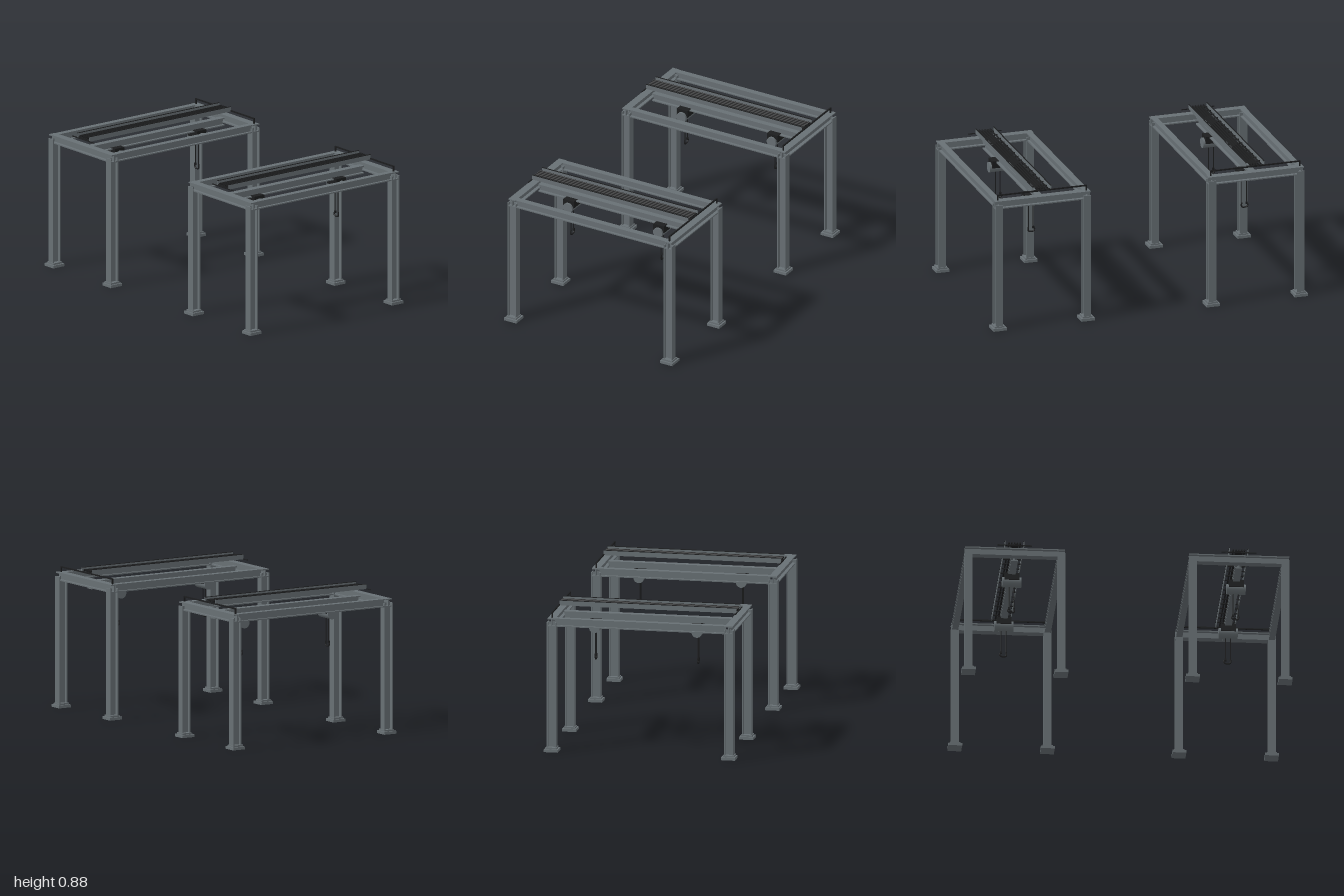
import * as THREE from 'three';

const steel = new THREE.MeshStandardMaterial({ color: 0x687074 });
steel.name = 'steel grey';
const black = new THREE.MeshStandardMaterial({ color: 0x1c1d1e });
black.name = 'black';

function add(parent, name, geometry, material, x = 0, y = 0, z = 0) {
  const mesh = new THREE.Mesh(geometry, material);
  mesh.name = name;
  mesh.position.set(x, y, z);
  parent.add(mesh);
  return mesh;
}

const box = (parent, name, material, w, h, d, x, y, z) =>
  add(parent, name, new THREE.BoxGeometry(w, h, d), material, x, y, z);

// I-section along +z: flanges at top and bottom, web between
function iBeam(width, height, length, t = 0.007) {
  const w = width / 2, h = height / 2, s = t / 2;
  const shape = new THREE.Shape([
    [-w, -h], [w, -h], [w, -h + t], [s, -h + t], [s, h - t], [w, h - t],
    [w, h], [-w, h], [-w, h - t], [-s, h - t], [-s, -h + t], [-w, -h + t],
  ].map(([x, y]) => new THREE.Vector2(x, y)));
  return new THREE.ExtrudeGeometry(shape, { depth: length, bevelEnabled: false })
    .translate(0, 0, -length / 2);
}

function createHoist(z) {
  const hoist = new THREE.Group();
  hoist.name = 'hoist';
  hoist.position.z = z;
  // Trolley and drum
  box(hoist, 'trolley', black, 0.09, 0.045, 0.075, 0, 0.745, 0);
  const drum = new THREE.CylinderGeometry(0.032, 0.032, 0.116, 24).rotateZ(Math.PI / 2);
  add(hoist, 'drum', drum, steel, 0, 0.72, 0);
  // Two ropes and the hook
  for (const x of [-0.016, 0.014]) {
    add(hoist, 'rope', new THREE.CylinderGeometry(0.003, 0.003, 0.16, 8), black, x, 0.62, 0);
  }
  const path = new THREE.CatmullRomCurve3([
    [0.014, 0.55], [0.016, 0.535], [0.013, 0.522], [0, 0.519],
    [-0.016, 0.521], [-0.024, 0.53], [-0.023, 0.541],
  ].map(([x, y]) => new THREE.Vector3(x, y, 0)));
  add(hoist, 'hook', new THREE.TubeGeometry(path, 24, 0.0048, 8), black);
  box(hoist, 'hookBlock', black, 0.012, 0.014, 0.01, -0.016, 0.545, 0);
  return hoist;
}

function createCableTray() {
  const tray = new THREE.Group();
  tray.name = 'cableTray';
  for (const x of [-0.057, 0.057]) {
    box(tray, 'traySide', steel, 0.004, 0.03, 1.09, x, 0.867, 0);
    box(tray, 'trayLip', black, 0.006, 0.003, 1.09, x, 0.882, 0);
  }
  for (let i = 0; i < 17; i++) {
    box(tray, 'trayRung', black, 0.114, 0.006, 0.007, 0, 0.857, -0.535 + i * 0.0669);
  }
  box(tray, 'cableBed', black, 0.048, 0.003, 1.09, 0, 0.861, 0);
  for (let i = -2; i <= 2; i++) {
    const cable = new THREE.CylinderGeometry(0.005, 0.005, 1.09, 8).rotateX(Math.PI / 2);
    add(tray, 'cable', cable, black, i * 0.017, 0.869, 0);
  }
  return tray;
}

function createGantry(x) {
  const gantry = new THREE.Group();
  gantry.name = 'gantry';
  gantry.position.x = x;

  // Legs on stepped base plates
  for (const lx of [-0.28, 0.28]) {
    for (const lz of [-0.545, 0.545]) {
      box(gantry, 'basePlate', steel, 0.084, 0.017, 0.086, lx, 0.0085, lz);
      box(gantry, 'baseStep', steel, 0.062, 0.01, 0.068, lx, 0.022, lz);
      const leg = iBeam(0.047, 0.058, 0.785).rotateX(-Math.PI / 2);
      add(gantry, 'leg', leg, steel, lx, 0.4075, lz);
    }
    add(gantry, 'sideBeam', iBeam(0.038, 0.05, 1.05), steel, lx, 0.8, 0);
  }

  // Cross beams at both ends and the hoist rail between them
  for (const z of [-0.545, 0.545]) {
    const beam = iBeam(0.048, 0.05, 0.605).rotateY(Math.PI / 2);
    add(gantry, 'crossBeam', beam, steel, 0, 0.8, z);
  }
  add(gantry, 'hoistRail', iBeam(0.042, 0.05, 1.05), steel, 0, 0.782, 0);

  // Support frame for the tray at the back, short bar at the front
  box(gantry, 'trayBar', black, 0.572, 0.008, 0.008, 0, 0.856, -0.545);
  for (const px of [-0.282, 0.282]) {
    box(gantry, 'trayPost', black, 0.008, 0.038, 0.008, px, 0.839, -0.545);
  }
  box(gantry, 'frontTrayBar', black, 0.21, 0.005, 0.006, 0, 0.853, 0.545);

  gantry.add(createCableTray(), createHoist(0.3), createHoist(-0.33));
  return gantry;
}

export function createModel() {
  const model = new THREE.Group();
  model.name = 'gantryCranes';
  for (const x of [-0.678, 0.678]) model.add(createGantry(x));
  return model;
}
